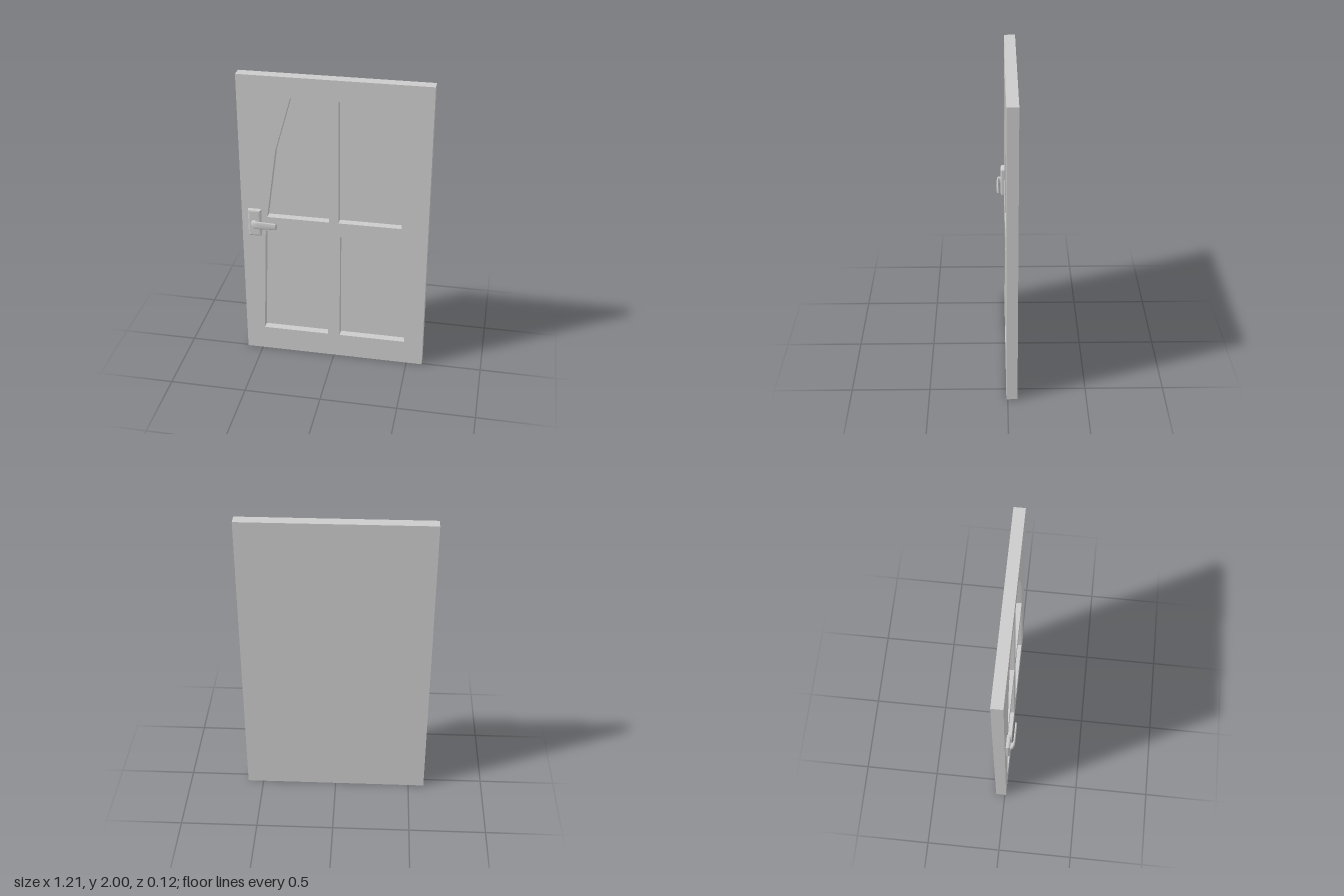
import * as THREE from 'three';
import { toCreasedNormals } from 'three/addons/utils/BufferGeometryUtils.js';

const BACK = -0.062, FRONT = 0.009, RECESS = 0.05;
const WIDTH = 1.21, HEIGHT = 2;

const grey = new THREE.MeshStandardMaterial({ color: 0xcccccc });

function part(name, geometry) {
  const mesh = new THREE.Mesh(geometry, grey);
  mesh.name = name;
  return mesh;
}

const toPoints = (list) => list.map(([x, y]) => new THREE.Vector2(x, y));

// Closed tube through sections of [outerX, outerZ, innerX, innerZ, halfHeight]
function sweepSections(sections, centreY, sides) {
  const positions = [], index = [];
  for (const [ox, oz, ix, iz, h] of sections) {
    for (let j = 0; j < sides; j++) {
      const a = (j / sides) * Math.PI * 2;
      const c = Math.cos(a), s = Math.sin(a);
      // slightly squared ellipse
      const u = Math.sign(c) * Math.abs(c) ** 0.8;
      const v = Math.sign(s) * Math.abs(s) ** 0.8;
      positions.push((ox + ix) / 2 + (ox - ix) / 2 * u, centreY + h * v, (oz + iz) / 2 + (oz - iz) / 2 * u);
    }
  }
  for (let i = 0; i < sections.length - 1; i++) {
    for (let j = 0; j < sides; j++) {
      const k = (j + 1) % sides;
      const a = i * sides + j, b = i * sides + k;
      const c = a + sides, d = b + sides;
      index.push(a, c, b, b, c, d);
    }
  }
  // end caps
  const last = (sections.length - 1) * sides;
  for (let j = 1; j < sides - 1; j++) {
    index.push(0, j, j + 1);
    index.push(last, last + j + 1, last + j);
  }
  const geometry = new THREE.BufferGeometry();
  geometry.setAttribute('position', new THREE.Float32BufferAttribute(positions, 3));
  geometry.setIndex(index);
  return toCreasedNormals(geometry, 0.7);
}

export function createModel() {
  const model = new THREE.Group();
  model.name = 'door';

  // Backing slab, which forms the floor of the recesses
  const backDepth = FRONT - BACK - RECESS;
  const backing = part('doorBacking', new THREE.BoxGeometry(WIDTH, HEIGHT, backDepth));
  backing.position.set(0, HEIGHT / 2, BACK + backDepth / 2);
  model.add(backing);

  // Front frame with four recessed panels, mirrored left to right
  const w = WIDTH / 2;
  const frame = new THREE.Shape(toPoints([[-w, 0], [w, 0], [w, HEIGHT], [-w, HEIGHT]]));
  const panels = [
    [[0.03, 1.035], [0.437, 1.035], [0.37, 1.51], [0.268, 1.867], [0.03, 1.867]],
    [[0.04, 0.17], [0.481, 0.17], [0.45, 0.935], [0.04, 0.935]],
  ];
  for (const panel of panels) {
    for (const side of [-1, 1]) {
      frame.holes.push(new THREE.Path(toPoints(panel.map(([x, y]) => [x * side, y]))));
    }
  }
  const doorFrame = part('doorFrame', new THREE.ExtrudeGeometry(frame, { depth: RECESS, bevelEnabled: false }));
  doorFrame.position.z = FRONT - RECESS;
  model.add(doorFrame);

  const handle = new THREE.Group();
  handle.name = 'handle';
  model.add(handle);

  // Bevelled plate behind the lever
  const plate = new THREE.Shape(toPoints([[-0.548, 0.912], [-0.487, 0.912], [-0.487, 1.078], [-0.548, 1.078]]));
  const handlePlate = part('handlePlate', new THREE.ExtrudeGeometry(plate, {
    depth: 0.015, bevelSize: 0.012, bevelThickness: 0.01, bevelSegments: 2,
  }));
  handlePlate.position.z = FRONT;
  handle.add(handlePlate);

  // Lever: short stem that bends sideways into a flat grip
  handle.add(part('handleLever', sweepSections([
    [-0.54, 0.03, -0.497, 0.03, 0.022],
    [-0.538, 0.04, -0.497, 0.038, 0.026],
    [-0.533, 0.05, -0.496, 0.043, 0.028],
    [-0.518, 0.059, -0.493, 0.047, 0.028],
    [-0.49, 0.062, -0.482, 0.049, 0.027],
    [-0.44, 0.062, -0.44, 0.049, 0.025],
    [-0.374, 0.062, -0.363, 0.049, 0.022],
  ], 0.993, 20)));

  return model;
}
